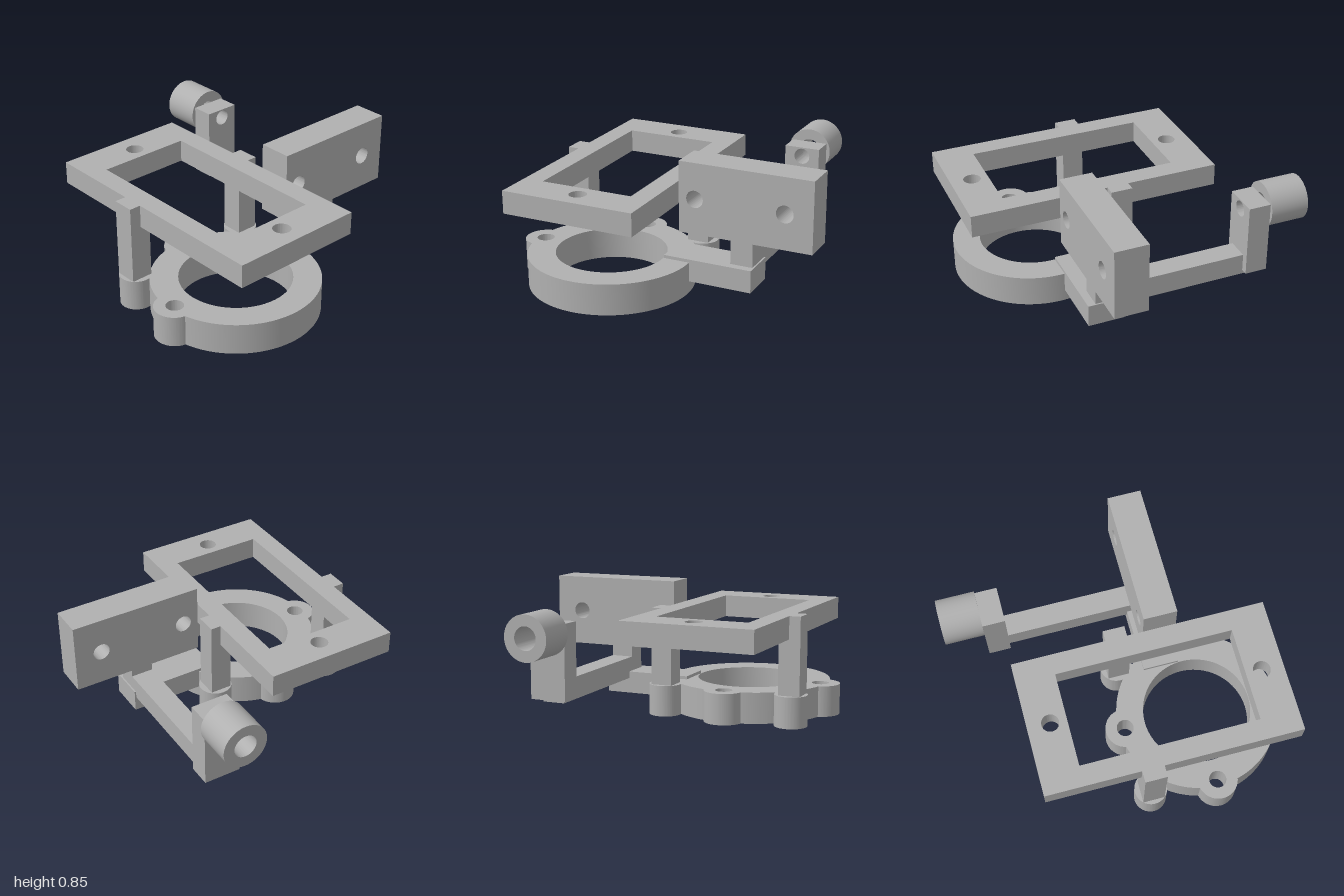
import * as THREE from 'three';
import { toCreasedNormals } from 'three/addons/utils/BufferGeometryUtils.js';

export function createModel() {
  const model = new THREE.Group();
  model.name = 'bracketAssembly';
  const grey = new THREE.MeshStandardMaterial({ color: 0xb0b0b0 });
  grey.name = 'plainGrey';

  const add = (name, geometry) => {
    const mesh = new THREE.Mesh(geometry, grey);
    mesh.name = name;
    model.add(mesh);
  };

  // Box given by its limits on each axis
  const box = (name, x0, x1, y0, y1, z0, z1) => {
    const g = new THREE.BoxGeometry(x1 - x0, y1 - y0, z1 - z0);
    g.translate((x0 + x1) / 2, (y0 + y1) / 2, (z0 + z1) / 2);
    add(name, g);
  };

  const rect = (a0, b0, a1, b1) => new THREE.Shape([
    new THREE.Vector2(a0, b0), new THREE.Vector2(a1, b0),
    new THREE.Vector2(a1, b1), new THREE.Vector2(a0, b1),
  ]);
  const circle = (a, b, r) => new THREE.Shape().absarc(a, b, r, 0, Math.PI * 2, false);

  const extrude = (shape, holes, depth) => {
    shape.holes.push(...holes);
    return new THREE.ExtrudeGeometry(shape, { depth, bevelEnabled: false, curveSegments: 40 });
  };
  // Outline in (x, z), standing between two heights
  const plate = (name, shape, holes, y0, y1) =>
    add(name, toCreasedNormals(extrude(shape, holes, y1 - y0).rotateX(Math.PI / 2).translate(0, y1, 0), 0.5));
  // Outline in (z, y), reaching between two x positions
  const sidePlate = (name, shape, holes, x0, x1) =>
    add(name, toCreasedNormals(extrude(shape, holes, x1 - x0).rotateY(-Math.PI / 2).translate(x1, 0, 0), 0.5));

  // Base ring with its four round lugs traced as one outline
  const cx = 0.47, cz = 0.35, R = 0.525;
  const lugs = [
    { a: Math.PI / 2, d: 0.483, r: 0.128 },
    { a: Math.PI * 3 / 4, d: 0.608, r: 0.105 },
    { a: Math.PI, d: 0.483, r: 0.128 },
    { a: Math.PI * 5 / 4, d: 0.608, r: 0.105 },
  ];
  const outline = new THREE.Shape();
  let from = 0;
  for (const { a, d, r } of lugs) {
    const h = Math.acos((R * R + d * d - r * r) / (2 * R * d));
    const g = Math.acos((d * d + r * r - R * R) / (2 * d * r));
    outline.absarc(cx, cz, R, from, a - h, false);
    outline.absarc(cx + d * Math.cos(a), cz + d * Math.sin(a), r, a + Math.PI + g, a + 3 * Math.PI - g, false);
    from = a + h;
  }
  outline.absarc(cx, cz, R, from, Math.PI * 2, false);
  plate('baseRing', outline,
    [circle(cx, cz, 0.35), circle(cx, cz + 0.483, 0.055), circle(cx - 0.483, cz, 0.055)], 0, 0.2);

  // Posts carrying the upper frame
  box('frontPost', -0.03, 0.11, 0.2, 0.7, 0.718, 0.858);
  box('backPost', -0.03, 0.11, 0.2, 0.7, -0.147, -0.007);

  // Upper rectangular frame
  plate('upperFrame', rect(-0.635, -0.08, 0.995, 0.785),
    [rect(-0.385, 0.053, 0.752, 0.655), circle(-0.49, 0.35, 0.055), circle(0.855, 0.35, 0.055)], 0.555, 0.7);

  // Rear support: base block, short post and drilled mounting block
  box('rearBlock', 0.21, 0.445, 0.075, 0.22, -0.583, -0.003);
  box('mountPost', 0.255, 0.395, 0.2, 0.4, -0.573, -0.428);
  sidePlate('mountBlock', rect(-0.965, 0.39, -0.102, 0.845),
    [circle(-0.207, 0.615, 0.055), circle(-0.787, 0.615, 0.055)], 0.22, 0.435);

  // Side arm, its upright and the hollow sleeve
  box('sideArm', -0.68, 0.3, 0.175, 0.315, -0.573, -0.428);
  sidePlate('armUpright', rect(-0.618, 0.2, -0.382, 0.675), [circle(-0.5, 0.615, 0.052)], -0.748, -0.603);
  sidePlate('sleeve', circle(-0.5, 0.617, 0.143), [circle(-0.5, 0.617, 0.073)], -1, -0.748);

  return model;
}
